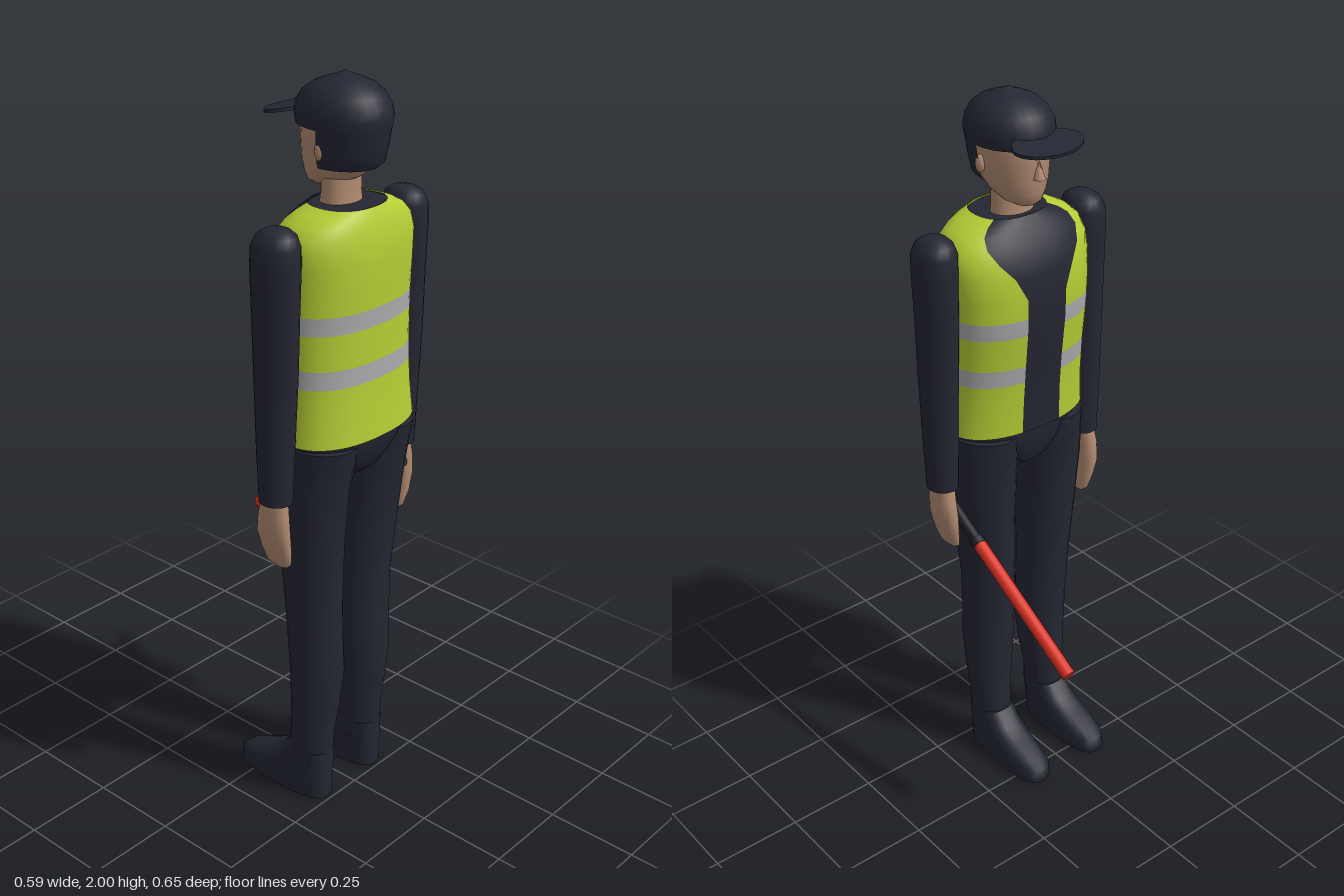
import * as THREE from 'three';

const mat = (name, color, side = THREE.FrontSide) => {
  const m = new THREE.MeshStandardMaterial({ color, side });
  m.name = name;
  return m;
};

// Loft through oval sections, rows ascending: [y, half width, front z, back z, centre x].
// span(y) limits the angle range (0 = front); p below 1 makes the ovals squarer.
function loft(rows, { n = 28, p = 1, span = null } = {}) {
  const pos = [], idx = [];
  const pw = (v) => Math.sign(v) * Math.pow(Math.abs(v), p);
  const cols = span ? n + 1 : n;
  for (const [y, rx, zf, zb, xc = 0] of rows) {
    const [a0, a1] = span ? span(y) : [0, Math.PI * 2];
    for (let j = 0; j < cols; j++) {
      const a = a0 + (a1 - a0) * j / n;
      pos.push(xc + rx * pw(Math.sin(a)), y, (zf + zb) / 2 - (zb - zf) / 2 * pw(Math.cos(a)));
    }
  }
  for (let i = 0; i < rows.length - 1; i++) {
    for (let j = 0; j < n; j++) {
      const k = (j + 1) % cols, a = i * cols, b = a + cols;
      idx.push(a + j, b + j, a + k, b + j, b + k, a + k);
    }
  }
  // Flat end caps on closed lofts
  if (!span) {
    for (const i of [0, rows.length - 1]) {
      const [y, , zf, zb, xc = 0] = rows[i];
      const c = pos.length / 3;
      pos.push(xc, y, (zf + zb) / 2);
      for (let j = 0; j < n; j++) pos.push(...pos.slice((i * n + j) * 3, (i * n + j) * 3 + 3));
      for (let j = 0; j < n; j++) {
        const u = c + 1 + j, v = c + 1 + (j + 1) % n;
        idx.push(c, i ? v : u, i ? u : v);
      }
    }
  }
  const g = new THREE.BufferGeometry();
  g.setAttribute('position', new THREE.Float32BufferAttribute(pos, 3));
  g.setIndex(idx);
  g.computeVertexNormals();
  return g;
}

// Linear lookup in a table whose first column is y
function sample(rows, y) {
  let i = 0;
  while (i < rows.length - 2 && y > rows[i + 1][0]) i++;
  const a = rows[i], b = rows[i + 1], t = (y - a[0]) / (b[0] - a[0]);
  return a.map((v, k) => v + (b[k] - v) * t);
}

export function createModel() {
  const group = new THREE.Group();
  const uniform = mat('dark uniform', 0x242632, THREE.DoubleSide);
  const skin = mat('skin', 0xb08a70);
  const yellow = mat('high visibility yellow', 0xb6cc35, THREE.DoubleSide);
  const silver = mat('reflective grey', 0xa9a9ab, THREE.DoubleSide);
  const red = mat('baton red', 0xd8301f);
  const black = mat('grip black', 0x1b1c22);
  const add = (name, geo, material) => {
    const m = new THREE.Mesh(geo, material);
    m.name = name;
    group.add(m);
    return m;
  };

  // Torso shape, shared by the open vest and the shirt showing through it
  const torso = [
    [1.105, 0.211, 0.056, 0.322], [1.2, 0.204, 0.052, 0.312], [1.3, 0.203, 0.043, 0.307],
    [1.42, 0.206, 0.029, 0.306], [1.5, 0.209, 0.027, 0.307], [1.56, 0.212, 0.033, 0.307],
    [1.6, 0.211, 0.045, 0.305], [1.635, 0.199, 0.064, 0.298], [1.66, 0.172, 0.081, 0.29],
    [1.677, 0.138, 0.093, 0.283], [1.69, 0.1, 0.104, 0.275],
  ];
  // Half angle of the vest opening
  const opening = [[1.105, 0.24], [1.5, 0.24], [1.56, 0.38], [1.65, 0.8], [1.69, 0.95]];
  const gap = (y) => sample(opening, y)[1];
  const slice = (y0, y1) => [
    sample(torso, y0), ...torso.filter((r) => r[0] > y0 + 0.002 && r[0] < y1 - 0.002), sample(torso, y1),
  ];
  const around = { n: 44, p: 0.85, span: (y) => [gap(y), Math.PI * 2 - gap(y)] };
  const cuts = [1.105, 1.26, 1.308, 1.4, 1.447, 1.69];
  for (let i = 0; i < 5; i++) {
    add(i % 2 ? 'reflectiveBand' : 'vestPanel', loft(slice(cuts[i], cuts[i + 1]), around), i % 2 ? silver : yellow);
  }
  add('shirt', loft(torso.map(([y, rx, f, b]) => [y - 0.002, rx - 0.005, f + 0.005, b - 0.005]), { n: 44, p: 0.85 }), uniform);
  add('shirtFront', loft(slice(1.105, 1.69), { n: 14, p: 0.85, span: (y) => [-gap(y), gap(y)] }), uniform);

  // Hips
  add('hips', loft([
    [0.98, 0.07, 0.1, 0.25], [1.0, 0.1, 0.085, 0.275], [1.04, 0.15, 0.07, 0.295],
    [1.08, 0.192, 0.062, 0.311], [1.12, 0.203, 0.06, 0.316],
  ], { p: 0.9 }), uniform);

  // Limbs, mirrored
  for (const s of [1, -1]) {
    const side = s > 0 ? 'left' : 'right';
    const limb = (rows) => rows.map(([y, rx, f, b, x]) => [y, rx, f, b, x * s]);
    add(side + 'Leg', loft(limb([
      [0.1, 0.053, 0.117, 0.237, 0.1], [0.2, 0.057, 0.118, 0.242, 0.1], [0.3, 0.068, 0.12, 0.254, 0.097],
      [0.4, 0.074, 0.116, 0.264, 0.095], [0.5, 0.073, 0.108, 0.26, 0.097], [0.62, 0.074, 0.099, 0.258, 0.099],
      [0.8, 0.081, 0.085, 0.269, 0.108], [0.95, 0.09, 0.073, 0.283, 0.112], [1.09, 0.096, 0.062, 0.31, 0.108],
    ]), { n: 24 }), uniform);
    add(side + 'Shoe', loft(limb([
      [0, 0.052, -0.067, 0.239, 0.103], [0.015, 0.055, -0.07, 0.24, 0.103], [0.045, 0.055, -0.066, 0.24, 0.103],
      [0.065, 0.054, -0.03, 0.24, 0.103], [0.085, 0.053, 0.02, 0.24, 0.102], [0.11, 0.052, 0.075, 0.239, 0.101],
      [0.15, 0.052, 0.115, 0.238, 0.1],
    ]), { n: 24, p: 0.72 }), uniform);
    add(side + 'Arm', loft(limb([
      [0.96, 0.042, 0.132, 0.221, 0.243], [1.1, 0.046, 0.125, 0.227, 0.243], [1.3, 0.05, 0.118, 0.236, 0.242],
      [1.45, 0.052, 0.112, 0.239, 0.241], [1.58, 0.056, 0.109, 0.242, 0.241], [1.63, 0.055, 0.111, 0.241, 0.24],
      [1.655, 0.046, 0.124, 0.23, 0.238], [1.668, 0.03, 0.143, 0.211, 0.236], [1.672, 0.012, 0.163, 0.191, 0.236],
    ]), { n: 20 }), uniform);
    add(side + 'Hand', loft(limb([
      [0.768, 0.008, 0.15, 0.2, 0.226], [0.78, 0.015, 0.136, 0.212, 0.229], [0.82, 0.021, 0.127, 0.22, 0.238],
      [0.87, 0.026, 0.12, 0.222, 0.246], [0.92, 0.027, 0.127, 0.219, 0.248], [0.975, 0.025, 0.14, 0.21, 0.244],
    ]), { n: 18, p: 0.85 }), skin);
    // Ear
    const ear = add(side + 'Ear', new THREE.SphereGeometry(1, 12, 8), skin);
    ear.scale.set(0.012, 0.024, 0.014);
    ear.position.set(0.09 * s, 1.825, 0.178);
  }

  // Neck and head
  add('neck', loft([[1.66, 0.062, 0.12, 0.22], [1.71, 0.058, 0.127, 0.213], [1.78, 0.058, 0.127, 0.213]]), skin);
  add('head', loft([
    [1.722, 0.03, 0.085, 0.15], [1.732, 0.048, 0.074, 0.185], [1.755, 0.066, 0.067, 0.23], [1.785, 0.079, 0.063, 0.262],
    [1.83, 0.088, 0.062, 0.28], [1.88, 0.092, 0.06, 0.285], [1.93, 0.085, 0.075, 0.275],
  ]), skin);
  const nose = add('nose', new THREE.ConeGeometry(0.016, 0.05, 8), skin);
  nose.scale.z = 1.2;
  nose.position.set(0, 1.822, 0.062);

  // Hair, covering the back of the head below the cap
  add('hair', loft([
    [1.778, 0.08, 0.062, 0.266], [1.79, 0.092, 0.06, 0.281], [1.83, 0.098, 0.055, 0.291], [1.885, 0.104, 0.05, 0.3],
  ], { n: 24, span: () => [1.58, Math.PI * 2 - 1.58] }), uniform);

  // Peaked cap
  add('cap', loft([
    [1.875, 0.104, 0.051, 0.299], [1.9, 0.107, 0.047, 0.303], [1.925, 0.104, 0.05, 0.298], [1.95, 0.092, 0.067, 0.282],
    [1.97, 0.073, 0.096, 0.257], [1.983, 0.045, 0.128, 0.226], [1.991, 0.022, 0.154, 0.2], [2.0, 0.004, 0.173, 0.181],
  ]), uniform);
  const brim = add('capBrim', new THREE.CylinderGeometry(1, 1, 0.008, 32), uniform);
  brim.scale.set(0.102, 1, 0.06);
  brim.position.set(0, 1.896, 0.027);
  brim.rotation.x = -0.17;

  // Signal baton in the left hand
  const rod = (name, from, to, r, material) => {
    const a = new THREE.Vector3(0.218, ...from), b = new THREE.Vector3(0.218, ...to);
    const m = add(name, new THREE.CylinderGeometry(r, r, a.distanceTo(b), 18), material);
    m.position.copy(a).add(b).multiplyScalar(0.5);
    m.quaternion.setFromUnitVectors(new THREE.Vector3(0, 1, 0), b.sub(a).normalize());
  };
  rod('batonGrip', [0.917, 0.215], [0.823, 0.055], 0.016, black);
  rod('batonCollar', [0.832, 0.07], [0.822, 0.053], 0.02, black);
  rod('batonLight', [0.823, 0.055], [0.604, -0.316], 0.018, red);

  return group;
}
